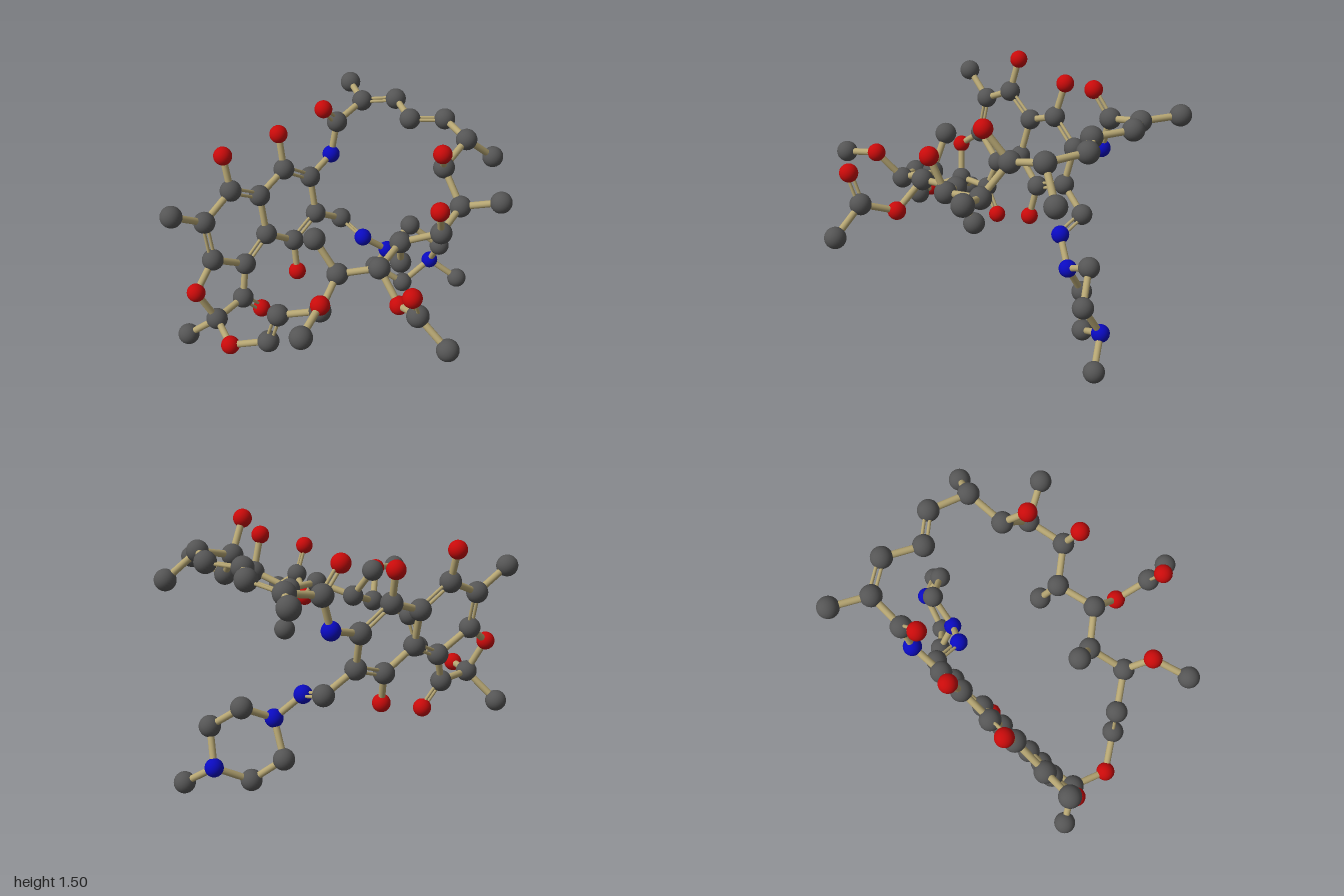
import * as THREE from 'three';

// Atoms per part: the first letter of each key is the element (c, n, o).
const fusedRings = {
  c1: [-0.606, 1.136, 0.115], c2: [-0.61, 1.0, -0.08], c3: [-0.55, 0.765, -0.07],
  c4: [-0.505, 0.677, 0.14], c5: [-0.468, 0.70, 0.525], c6: [-0.474, 0.83, 0.738],
  c7: [-0.525, 1.066, 0.738], c8: [-0.56, 1.176, 0.525], c9: [-0.574, 1.05, 0.322],
  c10: [-0.51, 0.81, 0.333], c11: [-0.425, 0.50, 0.587], c12: [-0.367, 0.493, 0.813],
  c13: [-0.522, 0.333, 0.93], c14: [-0.525, 1.195, 0.94],
  o1: [-0.665, 1.346, 0.1], o4: [-0.46, 0.468, 0.155], o6: [-0.425, 0.697, 0.898],
  o8: [-0.62, 1.38, 0.52], o11: [-0.423, 0.35, 0.463],
};

const longLoop = {
  n1: [-0.652, 1.068, -0.28], c15: [-0.657, 1.276, -0.335], o15: [-0.627, 1.42, -0.21],
  c16: [-0.685, 1.335, -0.56], c30: [-0.906, 1.348, -0.645],
  c17: [-0.514, 1.374, -0.69], c18: [-0.29, 1.358, -0.61], c19: [-0.143, 1.368, -0.76],
  c20: [0.098, 1.353, -0.71], c31: [0.157, 1.195, -0.885],
  c21: [0.155, 1.28, -0.48], o21: [0.25, 1.455, -0.37],
  c22: [0.328, 1.107, -0.46], c32: [0.521, 1.18, -0.588],
  c23: [0.407, 1.065, -0.237], o23: [0.462, 1.27, -0.165],
  c24: [0.24, 0.98, -0.08], c33: [0.167, 0.758, -0.153],
  c25: [0.325, 0.957, 0.148], c26: [0.156, 0.895, 0.312], c34: [0.024, 1.09, 0.368],
  c27: [0.253, 0.795, 0.513], c28: [0.07, 0.73, 0.67], c29: [0.022, 0.528, 0.715],
  o29: [-0.156, 0.459, 0.862],
};

const loopBranches = {
  o25: [0.5, 0.803, 0.152], c35: [0.705, 0.886, 0.2], o35: [0.732, 1.063, 0.27],
  c36: [0.898, 0.75, 0.154],
  o27: [0.377, 0.963, 0.603], c37: [0.475, 0.918, 0.805],
};

const ringTail = {
  c38: [-0.542, 0.645, -0.265], n2: [-0.356, 0.58, -0.295], n3: [-0.298, 0.442, -0.45],
  c39: [-0.294, 0.55, -0.645], c40: [-0.15, 0.403, -0.78], n4: [-0.266, 0.202, -0.81],
  c41: [-0.306, 0.087, -0.602], c42: [-0.417, 0.236, -0.449], c43: [-0.122, 0.068, -0.937],
};

// Bond paths: "-" is a single rod, "=" a pair of thin rods.
const parts = [
  ['fusedRings', fusedRings, [
    'c1=c2-c3=c4-c10=c5-c6=c7-c8=c9-c1', 'c9-c10', 'c5-c11-c12-o6-c6', 'c11=o11',
    'c12-c13', 'c7-c14', 'c1-o1', 'c4-o4', 'c8-o8']],
  ['longLoop', longLoop, [
    'c2-n1-c15-c16=c17-c18=c19-c20-c21-c22-c23-c24-c25-c26-c27-c28=c29-o29-c12',
    'c15=o15', 'c16-c30', 'c20-c31', 'c21-o21', 'c22-c32', 'c23-o23', 'c24-c33', 'c26-c34']],
  ['loopBranches', loopBranches, ['c25-o25-c35=o35', 'c35-c36', 'c27-o27-c37']],
  ['ringTail', ringTail, ['c3-c38=n2-n3-c39-c40-n4-c41-c42-n3', 'n4-c43']],
];

const paint = (color) => new THREE.MeshStandardMaterial({ color });
const UP = new THREE.Vector3(0, 1, 0);

export function createModel() {
  const model = new THREE.Group();
  model.name = 'ballAndStickMolecule';

  const elements = {
    c: { name: 'carbonBall', geo: new THREE.SphereGeometry(0.063, 28, 18), mat: paint(0x555555) },
    n: { name: 'nitrogenBall', geo: new THREE.SphereGeometry(0.054, 28, 18), mat: paint(0x0a0ac0) },
    o: { name: 'oxygenBall', geo: new THREE.SphereGeometry(0.054, 28, 18), mat: paint(0xc80a0a) },
  };
  const rodMat = paint(0xb5a572);
  const singleRod = new THREE.CylinderGeometry(0.02, 0.02, 1, 16, 1, true);
  const thinRod = new THREE.CylinderGeometry(0.0095, 0.0095, 1, 12, 1, true);

  // Positions and bonds of all parts together
  const pos = {};
  const neighbours = {};
  for (const [, atoms] of parts) {
    for (const key in atoms) {
      pos[key] = new THREE.Vector3(...atoms[key]);
      neighbours[key] = [];
    }
  }
  const bondLists = parts.map(([, , paths]) => paths.flatMap((path) => {
    const keys = path.split(/[-=]/);
    const kinds = path.match(/[-=]/g);
    return kinds.map((kind, i) => ({ a: keys[i], b: keys[i + 1], double: kind === '=' }));
  }));
  for (const { a, b } of bondLists.flat()) {
    neighbours[a].push(b);
    neighbours[b].push(a);
  }

  // Sideways direction of a double bond, in the plane of a neighbouring bond
  function sideways(a, b) {
    const dir = pos[b].clone().sub(pos[a]).normalize();
    const [end, other] = neighbours[a].length > 1 ? [a, b] : [b, a];
    const third = neighbours[end].find((k) => k !== other);
    const side = pos[third].clone().sub(pos[end]);
    return side.addScaledVector(dir, -side.dot(dir)).normalize();
  }

  function addRod(group, name, geo, from, to) {
    const rod = new THREE.Mesh(geo, rodMat);
    const dir = to.clone().sub(from);
    rod.name = name;
    rod.position.copy(from).add(to).multiplyScalar(0.5);
    rod.scale.y = dir.length();
    rod.quaternion.setFromUnitVectors(UP, dir.normalize());
    group.add(rod);
  }

  parts.forEach(([name, atoms], i) => {
    const group = new THREE.Group();
    group.name = name;
    // Balls
    for (const key in atoms) {
      const { name: ballName, geo, mat } = elements[key[0]];
      const ball = new THREE.Mesh(geo, mat);
      ball.name = ballName;
      ball.position.copy(pos[key]);
      group.add(ball);
    }
    // Rods
    for (const { a, b, double } of bondLists[i]) {
      if (!double) {
        addRod(group, 'singleRod', singleRod, pos[a], pos[b]);
        continue;
      }
      const side = sideways(a, b);
      for (const s of [-0.015, 0.015]) {
        addRod(group, 'doubleRod', thinRod,
          pos[a].clone().addScaledVector(side, s), pos[b].clone().addScaledVector(side, s));
      }
    }
    model.add(group);
  });

  return model;
}
